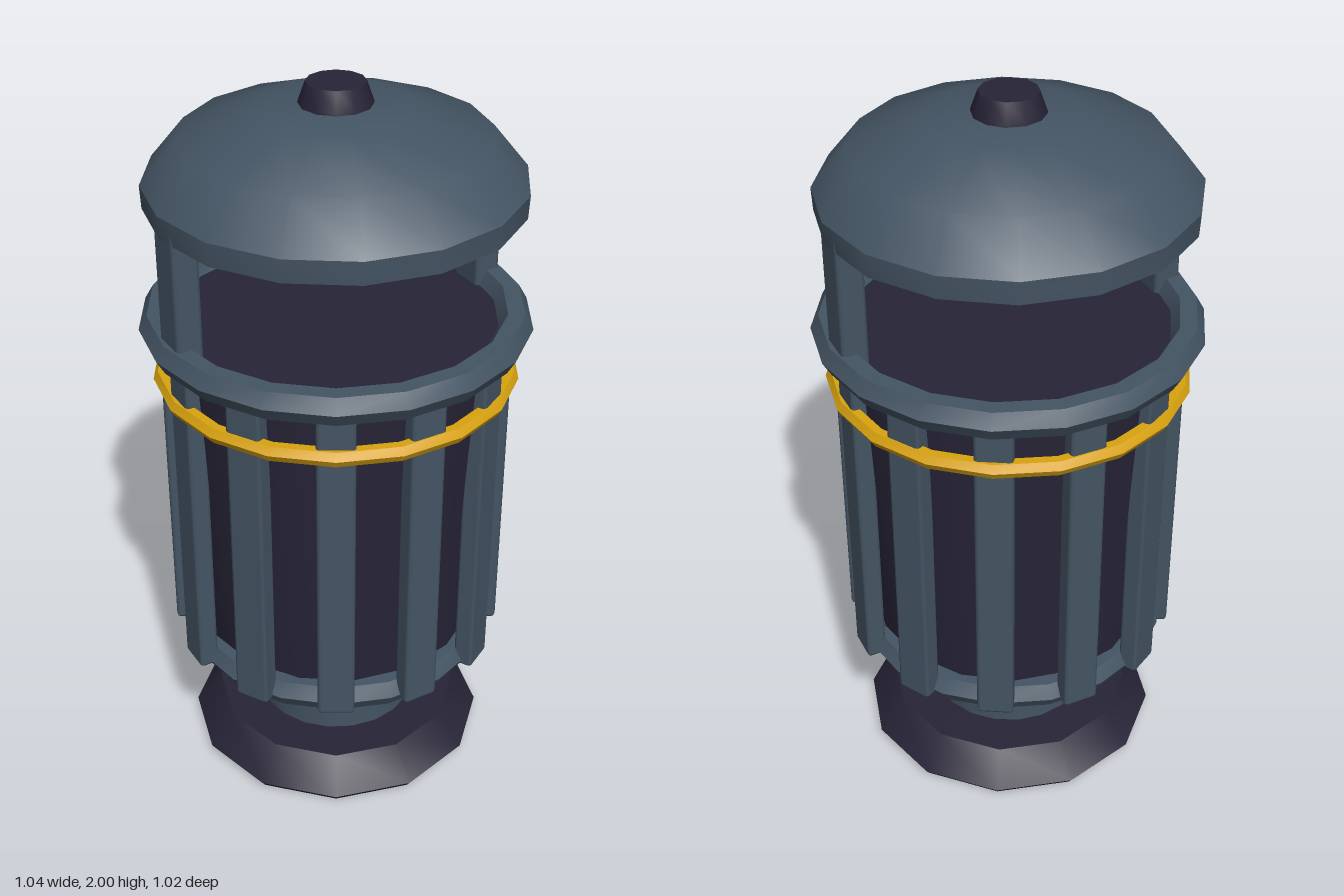
import * as THREE from 'three';
import { toCreasedNormals } from 'three/addons/utils/BufferGeometryUtils.js';
import { RoundedBoxGeometry } from 'three/addons/geometries/RoundedBoxGeometry.js';

const material = (name, color) => {
  const m = new THREE.MeshStandardMaterial({ color });
  m.name = name;
  return m;
};

export function createModel() {
  const slate = material('slate metal', 0x445463);
  const dark = material('dark metal', 0x272437);
  const yellow = material('yellow band', 0xd9a30f);
  const model = new THREE.Group();
  model.name = 'litterBin';

  const add = (name, geometry, mat, parent = model) => {
    const mesh = new THREE.Mesh(geometry, mat);
    mesh.name = name;
    parent.add(mesh);
    return mesh;
  };
  // Turned solid from [radius, height] pairs, listed bottom to top
  const turned = (name, points, sides, mat) => {
    const profile = points.map(([r, y]) => new THREE.Vector2(r, y));
    return add(name, toCreasedNormals(new THREE.LatheGeometry(profile, sides), 0.6), mat);
  };
  // Horizontal hoop with a six-sided section
  const hoop = (name, radius, tube, y, mat) => {
    const g = new THREE.TorusGeometry(radius, tube, 6, 18).rotateX(Math.PI / 2);
    add(name, toCreasedNormals(g, 0.6), mat).position.y = y;
  };

  // Pedestal
  turned('base', [[0, 0], [0.41, 0], [0.425, 0.02], [0.35, 0.11], [0, 0.11]], 12, dark);
  turned('pedestal', [[0.23, 0.1], [0.23, 0.33]], 20, slate);

  // Tapered container, closed just below the rim
  turned('container', [[0, 0.32], [0.37, 0.32], [0.388, 0.34], [0.445, 1.35], [0, 1.35]], 16, dark);
  hoop('lowerRing', 0.4, 0.045, 0.39, slate);
  hoop('rim', 0.475, 0.045, 1.36, slate);
  hoop('yellowBand', 0.466, 0.024, 1.21, yellow);

  // Twelve upright slats around the container
  const slats = new THREE.Group();
  slats.name = 'slats';
  model.add(slats);
  const slatShape = new RoundedBoxGeometry(0.1, 0.96, 0.056, 1, 0.01);
  for (let i = 0; i < 12; i++) {
    const a = (i / 12) * Math.PI * 2;
    const slat = add('slat', slatShape, slate, slats);
    slat.position.set(Math.sin(a) * 0.439, 0.855, Math.cos(a) * 0.439);
    slat.rotation.y = a;
  }

  // Two posts carry the lid
  for (const side of [1, -1]) {
    const post = add(side > 0 ? 'leftPost' : 'rightPost',
      new RoundedBoxGeometry(0.074, 0.41, 0.108, 1, 0.012), slate);
    post.position.set(side * 0.447, 1.555, 0);
  }

  // Domed lid and knob
  turned('lid', [[0, 1.69], [0.49, 1.69], [0.493, 1.752], [0.4, 1.865], [0.2, 1.937], [0, 1.95]], 16, slate);
  turned('knob', [[0.096, 1.935], [0.094, 1.95], [0.076, 2], [0, 2]], 12, dark);

  return model;
}
